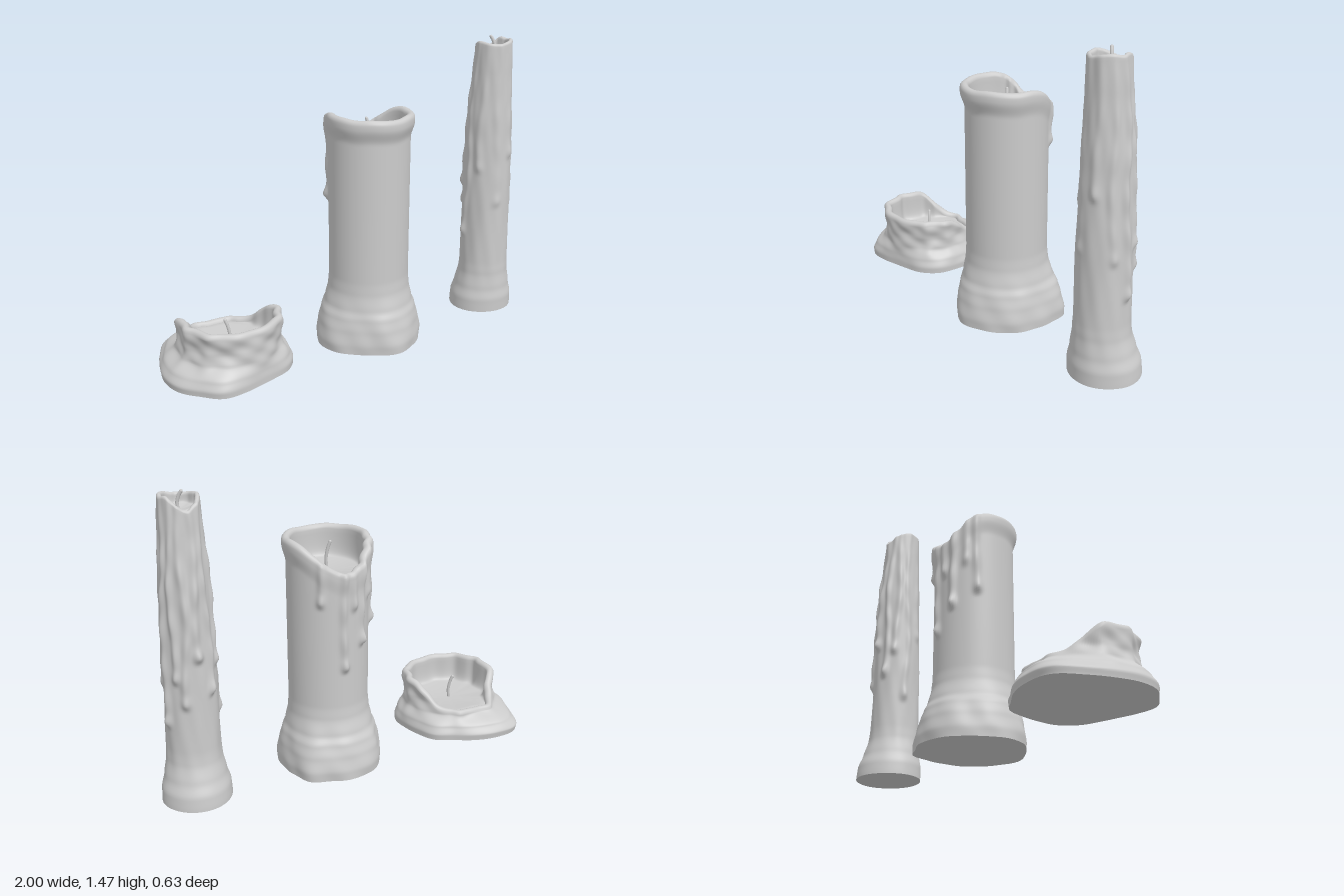
import * as THREE from 'three';

const SEG = 144, TAU = Math.PI * 2, DEG = Math.PI / 180;
const { lerp, smoothstep } = THREE.MathUtils;
const wax = new THREE.MeshStandardMaterial({ color: 0xcccccc });

// Smooth periodic value from samples evenly spaced around the circle (0 = +x, 90 degrees = +z)
function around(values) {
  const n = values.length;
  return (a) => {
    const t = (a / TAU) * n, i = Math.floor(t), f = t - i;
    const [p, q, r, s] = [-1, 0, 1, 2].map((k) => values[(i + k + n) % n]);
    return q + 0.5 * f * (r - p + f * (2 * p - 5 * q + 4 * r - s + f * (3 * (q - r) + s - p)));
  };
}

// Value along the height from [y, value] keys, halfway between linear and eased
function along(keys, y) {
  let i = 0;
  while (i < keys.length - 2 && y > keys[i + 1][0]) i++;
  const [y0, v0] = keys[i], [y1, v1] = keys[i + 1];
  const t = THREE.MathUtils.clamp((y - y0) / (y1 - y0), 0, 1);
  return lerp(v0, v1, (t + t * t * (3 - 2 * t)) / 2);
}

// Gentle lumps, periodic in the angle
const lumps = (a, y) => (Math.sin(3 * a + 9 * y) + Math.sin(5 * a - 14 * y + 1)
  + Math.sin(8 * a + 23 * y + 2) + Math.sin(11 * a - 31 * y + 4)) / 4;

// Runs of wax: [angle, width, thickness, lower end], each ending in a fat drop
function drips(list, a, y, wobble) {
  let sum = 0;
  for (const [deg, width, amp, end] of list) {
    let d = a - (deg + wobble * Math.sin(y * 9 + deg)) * DEG;
    d = Math.atan2(Math.sin(d), Math.cos(d)) / (width * DEG);
    const drop = Math.exp(-(((y - end - 0.035) / 0.03) ** 2));
    const beads = 0.65 + 0.15 * Math.sin(y * 38 + deg);
    sum += amp * Math.exp(-d * d) * smoothstep(y, end - 0.015, end + 0.03) * (beads + 0.5 * drop);
  }
  return sum;
}

// Closed rings joined into one skin; each row is a function angle -> [radius, y]
function loft(rows, centre) {
  const pos = [], index = [];
  rows.forEach((row, i) => {
    for (let j = 0; j < SEG; j++) {
      const a = (j / SEG) * TAU, [r, y] = row(a), [cx, cz] = centre(y);
      pos.push(cx + r * Math.cos(a), y, cz + r * Math.sin(a));
      if (i === 0) continue;
      const k = (j + 1) % SEG, lo = (i - 1) * SEG, hi = i * SEG;
      index.push(lo + j, hi + j, lo + k, hi + j, hi + k, lo + k);
    }
  });
  const g = new THREE.BufferGeometry();
  g.setAttribute('position', new THREE.Float32BufferAttribute(pos, 3));
  g.setIndex(index);
  g.computeVertexNormals();
  return g;
}

function part(name, geometry) {
  const m = new THREE.Mesh(geometry, wax);
  m.name = name;
  return m;
}

// One candle: outer wall, rounded lip, inner wall, pool floor, flat underside and wick
function candle({ name, bottom, outer, rim, lip, wall, floor, centre, wick, steps }) {
  const rows = [];
  const edge = (a) => rim(a) - lip;
  for (let i = 0; i <= steps; i++) {
    rows.push((a) => {
      const y = lerp(bottom, edge(a), i / steps);
      return [outer(a, y), y];
    });
  }
  for (let i = 1; i <= 7; i++) {
    const c = (i / 7) * Math.PI;
    rows.push((a) => [outer(a, edge(a)) - (wall / 2) * (1 - Math.cos(c)), edge(a) + lip * Math.sin(c)]);
  }
  for (let i = 1; i <= 10; i++) {
    const s = i / 10;
    rows.push((a) => [(outer(a, edge(a)) - wall) * (1 - 0.14 * s ** 3), lerp(edge(a), floor + 0.012, Math.sin(s * Math.PI / 2))]);
  }
  for (let i = 5; i >= 0; i--) {
    const s = i / 6;
    rows.push((a) => [(outer(a, edge(a)) - wall) * 0.86 * s, floor + 0.012 * s * s]);
  }
  const g = new THREE.Group();
  g.name = name;
  g.add(part('waxBody', loft(rows, centre)));
  g.add(part('underside', loft([0, 0.5, 1].map((s) => (a) => [outer(a, bottom) * s, bottom]), centre)));

  // Bent wick with a rounded tip
  const [wx, wz, top] = wick, h = top - floor;
  const pts = [[0, -0.01, 0], [0.004, h * 0.4, 0.002], [-0.004, h * 0.8, -0.004], [-0.012, h, -0.01]]
    .map(([x, y, z]) => new THREE.Vector3(wx + x, floor + y, wz + z));
  g.add(part('wick', new THREE.TubeGeometry(new THREE.CatmullRomCurve3(pts), 16, 0.008, 8)));
  const tip = part('wickTip', new THREE.SphereGeometry(0.008, 8, 6));
  tip.position.copy(pts[3]);
  g.add(tip);
  return g;
}

export function createModel() {
  const model = new THREE.Group();
  model.name = 'meltedCandles';

  // Burnt-down stub with a collapsed back and a spread puddle
  const puddle = around([0.285, 0.295, 0.28, 0.25, 0.245, 0.27, 0.31, 0.31, 0.33,
    0.335, 0.335, 0.355, 0.395, 0.36, 0.325, 0.3, 0.31, 0.29]);
  const stubRim = around([0.295, 0.303, 0.305, 0.305, 0.303, 0.305, 0.305, 0.308, 0.31,
    0.31, 0.3, 0.24, 0.18, 0.17, 0.172, 0.175, 0.19, 0.25]);
  const spread = [[0.03, 0.96], [0.06, 1], [0.1, 0.75], [0.15, 0.15], [0.2, 0]];
  const stubRuns = [[200, 9, 0.022, 0.05], [172, 7, 0.018, 0.05], [140, 8, 0.015, 0.06],
    [35, 7, 0.012, 0.1], [5, 8, 0.02, 0.05], [255, 8, 0.03, 0.04], [290, 7, 0.02, 0.04]];
  model.add(candle({
    name: 'stubCandle', bottom: 0.03, rim: stubRim, lip: 0.02, wall: 0.04, floor: 0.145, steps: 36,
    centre: () => [-0.665, 0.04], wick: [-0.67, 0.035, 0.265],
    outer: (a, y) => {
      const w = 0.234 + 0.008 * lumps(a, y * 2.5) + 0.006 * smoothstep(y, 0.22, 0.28);
      const f = along(spread, y);
      return w + (puddle(a) - w) * f + drips(stubRuns, a, y, 4) * (1 - f);
    },
  }));

  // Thick pillar with a flared foot, rolled lip and drips below the low back rim
  const foot = around([0.255, 0.26, 0.26, 0.262, 0.27, 0.266, 0.247, 0.25, 0.268,
    0.275, 0.27, 0.262, 0.28, 0.28, 0.28, 0.275, 0.295, 0.27]);
  const pillarRim = around([1.175, 1.172, 1.175, 1.178, 1.172, 1.174, 1.178, 1.175, 1.18,
    1.18, 1.178, 1.15, 1.085, 1.04, 1.04, 1.075, 1.12, 1.16]);
  const flare = [[0, 0.97], [0.05, 1], [0.12, 0.82], [0.18, 0.6], [0.22, 0.34], [0.3, 0.07], [0.36, 0]];
  const pillarRuns = [[277, 5, 0.024, 0.54], [246, 5, 0.025, 0.66], [212, 5, 0.022, 0.73],
    [228, 5, 0.018, 0.88], [262, 5, 0.018, 0.84], [309, 5, 0.02, 0.87]];
  model.add(candle({
    name: 'pillarCandle', bottom: 0.005, rim: pillarRim, lip: 0.022, wall: 0.042, floor: 1.005, steps: 110,
    centre: () => [0.097, 0.04], wick: [0.097, 0.04, 1.14],
    outer: (a, y) => {
      const roll = smoothstep(y, pillarRim(a) - 0.12, pillarRim(a) - 0.04);
      const w = 0.198 + roll * (0.014 + 0.008 * Math.sin(a));
      const f = along(flare, y);
      return w + (foot(a) - w) * f + 0.006 * f * lumps(a, y) + drips(pillarRuns, a, y, 1.5);
    },
  }));

  // Tall taper with long flowing ridges
  const base = around([0.172, 0.165, 0.163, 0.16, 0.16, 0.165, 0.166, 0.162, 0.165, 0.17, 0.172, 0.172]);
  const taperRim = around([1.455, 1.462, 1.458, 1.448, 1.446, 1.45, 1.455, 1.445, 1.425, 1.4, 1.425, 1.46]);
  const girth = [[0.02, 0.125], [0.2, 0.128], [0.6, 0.122], [1, 0.111], [1.3, 0.096], [1.46, 0.09]];
  const toe = [[0.02, 1], [0.08, 0.93], [0.14, 0.5], [0.22, 0.08], [0.28, 0]];
  const taperRuns = [[352, 9, 0.022, 0.4], [325, 8, 0.02, 0.62], [298, 9, 0.02, 0.5],
    [270, 10, 0.024, 0.72], [243, 8, 0.02, 0.55], [215, 9, 0.018, 0.68], [186, 8, 0.014, 0.42],
    [150, 10, 0.01, 0.78], [105, 11, 0.008, 0.6], [62, 10, 0.01, 0.85], [25, 9, 0.012, 0.57]];
  model.add(candle({
    name: 'taperCandle', bottom: 0.015, rim: taperRim, lip: 0.012, wall: 0.022, floor: 1.39, steps: 125,
    centre: (y) => [lerp(0.826, 0.822, y / 1.4), along([[0.02, 0.025], [0.25, 0.042], [1, 0.044], [1.46, 0.052]], y)],
    wick: [0.826, 0.045, 1.47],
    outer: (a, y) => {
      const w = along(girth, y) + 0.003 * lumps(a, y * 0.5);
      const f = along(toe, y);
      const thin = 1 - 0.6 * smoothstep(y, 1.05, 1.4);
      return w + (base(a) - w) * f + drips(taperRuns, a, y, 5) * thin;
    },
  }));
  return model;
}
